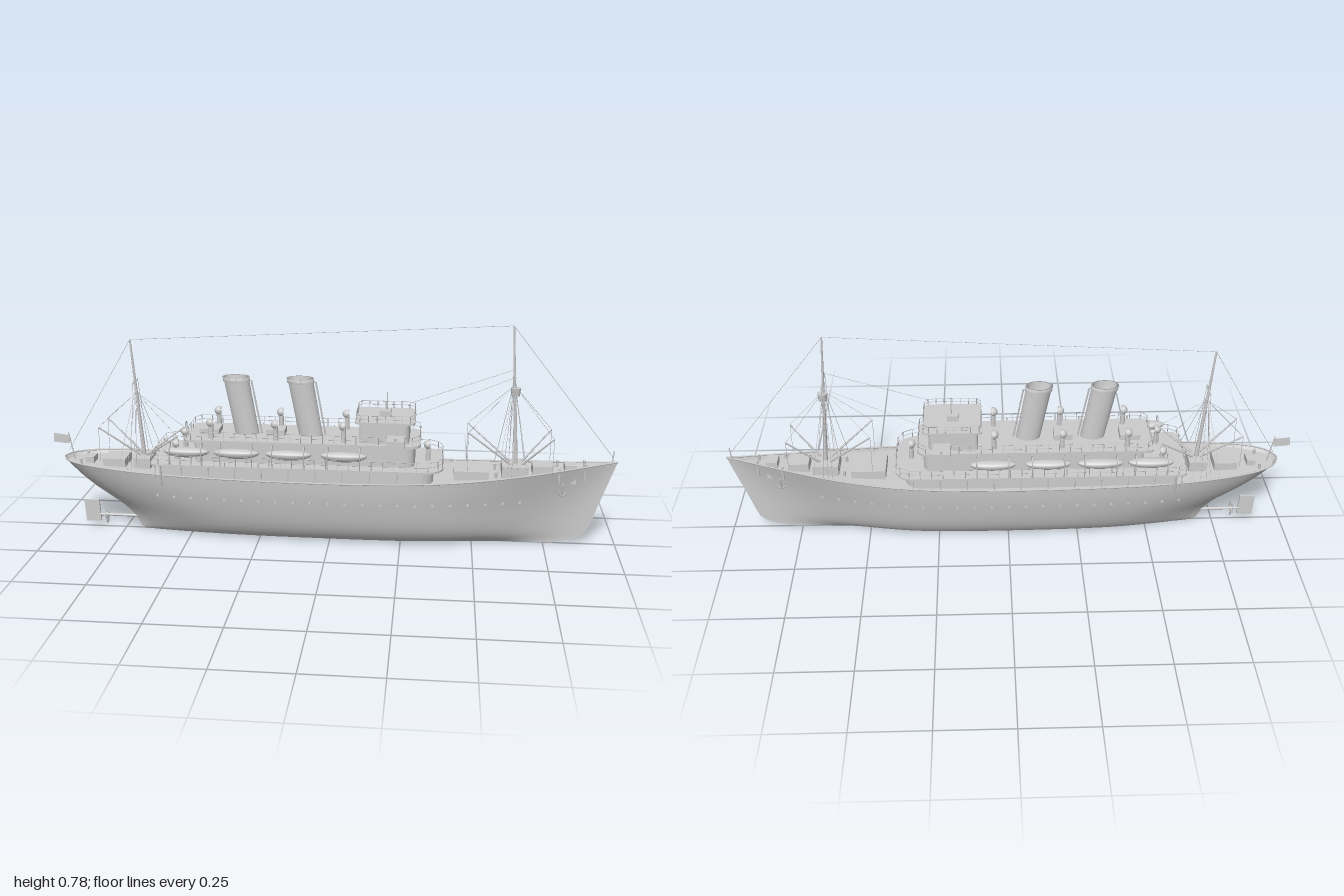
import * as THREE from 'three';

const steel = new THREE.MeshStandardMaterial({ color: 0xcccccc, side: THREE.DoubleSide });
steel.name = 'paleGrey';
const V = (x, y, z) => new THREE.Vector3(x, y, z);

// Smooth interpolation through [x, y] pairs
function curve(t) {
  const slope = i => (t[Math.min(i + 1, t.length - 1)][1] - t[Math.max(i - 1, 0)][1]) /
    (t[Math.min(i + 1, t.length - 1)][0] - t[Math.max(i - 1, 0)][0]);
  return x => {
    let i = 0;
    while (i < t.length - 2 && x > t[i + 1][0]) i++;
    const h = t[i + 1][0] - t[i][0], k = THREE.MathUtils.clamp((x - t[i][0]) / h, 0, 1), m = 1 - k;
    return (1 + 2 * k) * m * m * t[i][1] + k * m * m * h * slope(i) +
      k * k * (3 - 2 * k) * t[i + 1][1] - k * k * m * h * slope(i + 1);
  };
}

// Hull lines: sheer, half beam, midship section, stern and stem profiles
const sheer = curve([[-0.96, 0.268], [-0.5, 0.25], [0, 0.244], [0.4, 0.253], [0.7, 0.274], [0.99, 0.306]]);
const beam = curve([[0, 0], [0.006, 0.034], [0.02, 0.06], [0.05, 0.088], [0.11, 0.114], [0.2, 0.133], [0.35, 0.142],
  [0.6, 0.142], [0.7, 0.13], [0.8, 0.098], [0.9, 0.05], [0.97, 0.014], [1, 0]]);
const section = curve([[0, 0.25], [0.03, 0.4], [0.08, 0.53], [0.2, 0.69], [0.4, 0.82], [0.6, 0.9], [0.8, 0.965], [1, 1]]);
const stern = curve([[0, -0.69], [0.2, -0.72], [0.35, -0.76], [0.6, -0.855], [0.8, -0.915], [1, -0.96]]);
const stem = curve([[0, 0.78], [0.03, 0.82], [0.1, 0.88], [0.16, 0.9], [0.5, 0.936], [1, 0.99]]);
const hullZ = (u, v) => section(v) * 0.142 * Math.pow(beam(u) / 0.142, 1 + 1.3 * (1 - v));
function hullPoint(u, v, side) {
  const x = THREE.MathUtils.lerp(stern(v), stem(v), u);
  return V(x, v * sheer(x), side * hullZ(u, v));
}
function hullAt(x, y, side) {
  const v = y / sheer(x);
  return hullPoint((x - stern(v)) / (stem(v) - stern(v)), v, side);
}

// Surface through rows of points
function skin(rows) {
  const n = rows[0].length, idx = [];
  for (let i = 0; i < rows.length - 1; i++) for (let j = 0; j < n - 1; j++) {
    const a = i * n + j, b = a + n;
    idx.push(a, b, a + 1, b, b + 1, a + 1);
  }
  const g = new THREE.BufferGeometry().setFromPoints(rows.flat());
  g.setIndex(idx);
  g.computeVertexNormals();
  return g;
}

function outline(x0, x1, hw, rb, rf) {
  const s = new THREE.Shape();
  s.moveTo(x0 + rb, -hw);
  s.lineTo(x1 - rf, -hw);
  s.quadraticCurveTo(x1, -hw, x1, -hw + rf);
  s.lineTo(x1, hw - rf);
  s.quadraticCurveTo(x1, hw, x1 - rf, hw);
  s.lineTo(x0 + rb, hw);
  s.quadraticCurveTo(x0, hw, x0, hw - rb);
  s.lineTo(x0, -hw + rb);
  s.quadraticCurveTo(x0, -hw, x0 + rb, -hw);
  return s;
}

export function createModel() {
  const ship = new THREE.Group();
  ship.name = 'ship';
  const add = (name, geo, p = [0, 0, 0], parent = ship) => {
    const m = new THREE.Mesh(geo, steel);
    m.name = name;
    m.position.set(...p);
    parent.add(m);
    return m;
  };
  const group = name => {
    const g = new THREE.Group();
    g.name = name;
    ship.add(g);
    return g;
  };
  const box = (name, x0, x1, y0, y1, hw, parent, z = 0) =>
    add(name, new THREE.BoxGeometry(x1 - x0, y1 - y0, hw * 2), [(x0 + x1) / 2, (y0 + y1) / 2, z], parent);
  const rod = (name, a, b, r, parent, r2 = r, sides = 6) => {
    const d = b.clone().sub(a);
    const m = add(name, new THREE.CylinderGeometry(r2, r, d.length(), sides), a.clone().add(b).multiplyScalar(0.5).toArray(), parent);
    m.quaternion.setFromUnitVectors(V(0, 1, 0), d.normalize());
    return m;
  };
  const tube = (name, pts, r, parent, n = 12) =>
    add(name, new THREE.TubeGeometry(new THREE.CatmullRomCurve3(pts), n, r, 5), [0, 0, 0], parent);
  const slab = (name, x0, x1, hw, y0, y1, rb, rf) => add(name, new THREE.ExtrudeGeometry(outline(x0, x1, hw, rb, rf),
    { depth: y1 - y0, bevelEnabled: false, curveSegments: 8 }).rotateX(-Math.PI / 2), [0, y0, 0]);
  const railing = (name, shape, y, h, n) => {
    const g = group(name), pts = shape.getSpacedPoints(n).map(p => V(p.x, y, -p.y));
    pts.forEach((p, i) => {
      if (i === n) return;
      rod('railPost', p, p.clone().setY(y + h), 0.0013, g, 0.0013, 4);
      for (const k of [0.5, 1]) rod('rail', p.clone().setY(y + h * k), pts[i + 1].clone().setY(y + h * k), 0.001, g, 0.001, 4);
    });
  };

  // Hull shell, deck and gunwale
  const us = Array.from({ length: 65 }, (_, i) => (1 - Math.cos(Math.PI * i / 64)) / 2);
  const levels = [0, 0.03, 0.06, 0.1, 0.16, 0.24, 0.32, 0.4, 0.5, 0.6, 0.7, 0.8, 0.9, 1];
  add('hull', skin(us.map(u => [...levels.slice().reverse().map(v => hullPoint(u, v, -1)), V(hullPoint(u, 0, 1).x, 0, 0),
    ...levels.map(v => hullPoint(u, v, 1))])));
  add('mainDeck', skin(us.map(u => [hullPoint(u, 0.95, 1), hullPoint(u, 0.95, -1)])));
  for (const s of [1, -1]) tube('gunwale', us.map(u => hullPoint(u, 1, s)), 0.003, ship, 100);

  // Portholes, anchors and side ladders
  const fittings = group('hullFittings');
  for (const s of [1, -1]) {
    for (let i = 0; i < 22; i++) {
      const p = hullAt(-0.6 + i * 0.06, 0.168, s);
      add('porthole', new THREE.CylinderGeometry(0.005, 0.005, 0.005, 10).rotateX(Math.PI / 2), p.toArray(), fittings);
    }
    const a = y => hullAt(0.805, y, s).add(V(0, 0, s * 0.004));
    rod('anchorShank', a(0.185), a(0.23), 0.003, fittings);
    tube('anchorFlukes', [[-0.015, 0.198], [0, 0.186], [0.015, 0.198]].map(([dx, y]) => hullAt(0.805 + dx, y, s).add(V(0, 0, s * 0.004))), 0.003, fittings);
    rod('sideLadder', hullAt(-0.58, 0.21, s).add(V(0, 0, s * 0.003)), V(-0.58, 0.29, s * 0.14), 0.003, fittings);
  }

  // Rudder, shaft and propeller
  const gear = group('steeringGear');
  box('rudder', -0.9, -0.845, 0.02, 0.1, 0.004, gear).rotation.z = 0.06;
  rod('propellerShaft', V(-0.85, 0.045, 0), V(-0.69, 0.045, 0), 0.005, gear, 0.005, 10);
  add('propellerHub', new THREE.SphereGeometry(0.009, 10, 8), [-0.82, 0.045, 0], gear);
  for (let i = 0; i < 4; i++) {
    const blade = add('propellerBlade', new THREE.SphereGeometry(1, 8, 6).scale(0.002, 0.015, 0.008).rotateY(0.6).translate(0, 0.018, 0), [-0.82, 0.045, 0], gear);
    blade.rotation.x = i * Math.PI / 2;
  }

  // Superstructure, tier by tier
  slab('lowerHouse', -0.59, 0.36, 0.112, 0.225, 0.288, 0.02, 0.06);
  slab('promenadeDeck', -0.62, 0.395, 0.138, 0.286, 0.293, 0.03, 0.08);
  slab('upperHouse', -0.47, 0.295, 0.09, 0.29, 0.367, 0.02, 0.04);
  slab('boatDeck', -0.5, 0.315, 0.105, 0.365, 0.374, 0.02, 0.04);
  slab('wheelhouse', 0.105, 0.275, 0.084, 0.37, 0.447, 0.01, 0.025);
  slab('wheelhouseRoof', 0.09, 0.295, 0.096, 0.445, 0.452, 0.015, 0.03);
  box('bridgeWings', 0.2, 0.26, 0.372, 0.405, 0.155);
  box('chartBox', 0.17, 0.21, 0.45, 0.472, 0.02);
  rod('signalPole', V(0.195, 0.45, 0), V(0.195, 0.535, 0), 0.002);
  railing('promenadeRailing', outline(-0.617, 0.392, 0.136, 0.03, 0.08), 0.293, 0.033, 64);
  railing('boatDeckRailing', outline(-0.497, 0.312, 0.103, 0.02, 0.04), 0.374, 0.03, 52);
  railing('roofRailing', outline(0.093, 0.292, 0.094, 0.015, 0.03), 0.452, 0.024, 26);
  const pillars = group('pillars');
  for (const s of [1, -1]) {
    for (let i = 0; i < 11; i++) rod('pillar', V(-0.6 + i * 0.093, 0.235, s * 0.133), V(-0.6 + i * 0.093, 0.29, s * 0.133), 0.002, pillars);
    rod('wingLamp', V(0.23, 0.4, s * 0.15), V(0.23, 0.416, s * 0.15), 0.004, pillars);
  }

  // Lifeboats with davits
  const boatGeo = new THREE.SphereGeometry(1, 20, 12), bp = boatGeo.attributes.position;
  for (let i = 0; i < bp.count; i++) {
    const y = bp.getY(i);
    bp.setXYZ(i, bp.getX(i) * 0.08, y * (y > 0 ? 0.012 : 0.022), bp.getZ(i) * 0.022);
  }
  boatGeo.computeVertexNormals();
  const boats = group('lifeboats');
  for (const s of [1, -1]) for (const x of [-0.49, -0.315, -0.135, 0.055]) {
    add('lifeboat', boatGeo, [x, 0.339, s * 0.12], boats);
    for (const d of [-0.055, 0.055])
      tube('davit', [V(x + d, 0.29, s * 0.136), V(x + d, 0.34, s * 0.146), V(x + d, 0.364, s * 0.138), V(x + d, 0.37, s * 0.12), V(x + d, 0.35, s * 0.118)], 0.002, boats);
  }

  // Raked hollow funnels
  const profile = [[0.93, 0], [0.98, 0.19], [1.06, 0.192], [1.06, 0.207], [0.9, 0.207], [0.88, 0.13], [0, 0.13]];
  for (const x of [-0.295, -0.07]) {
    const f = new THREE.LatheGeometry(profile.map(p => new THREE.Vector2(p[0], p[1])), 28).scale(0.045, 1, 0.031);
    f.applyMatrix4(new THREE.Matrix4().set(1, -0.18, 0, 0, 0, 1, 0, 0, 0, 0, 1, 0, 0, 0, 0, 1));
    f.computeVertexNormals();
    add('funnel', f, [x, 0.37, 0]);
    rod('whistleBar', V(x - 0.012, 0.555, -0.045), V(x - 0.012, 0.555, 0.045), 0.002);
    rod('steamPipe', V(x + 0.052, 0.37, 0), V(x + 0.017, 0.565, 0), 0.003);
  }

  // Cowl ventilators
  const vents = group('ventilators');
  const vent = (x, y, z) => {
    rod('ventPipe', V(x, y, z), V(x, y + 0.055, z), 0.009, vents, 0.008, 10);
    add('ventCowl', new THREE.SphereGeometry(0.016, 12, 8, 0, Math.PI * 2, 0, Math.PI * 0.6).rotateZ(Math.PI / 2 - 0.2), [x, y + 0.057, z], vents);
  };
  for (const s of [1, -1]) {
    vent(-0.535, 0.293, s * 0.07);
    for (const x of [-0.41, -0.185, 0.05]) vent(x, 0.374, s * 0.075);
  }
  vent(0.34, 0.293, 0);
  box('skylight', -0.225, -0.16, 0.37, 0.395, 0.03);
  box('engineCasing', -0.46, -0.39, 0.37, 0.393, 0.035);

  // Cargo hatches and mast houses
  [[0.43, 0.55, 0.06, 0.275], [0.595, 0.685, 0.05, 0.292], [0.7, 0.77, 0.035, 0.293], [0.81, 0.85, 0.025, 0.296],
    [-0.7, -0.64, 0.045, 0.28], [-0.81, -0.73, 0.045, 0.275], [-0.88, -0.85, 0.025, 0.272]]
    .forEach(([a, b, hw, top]) => box('deckHatch', a, b, 0.23, top, hw));
  for (const s of [1, -1]) for (const x of [-0.89, 0.575, 0.79, 0.88])
    rod('bollard', V(x, 0.24, s * (x > 0.85 ? 0.02 : 0.045)), V(x, sheer(x) + 0.008, s * (x > 0.85 ? 0.02 : 0.045)), 0.005);

  // Masts, derricks and rigging
  const rig = group('mastsAndRigging');
  const line = (a, b) => rod('stay', a, b, 0.0008, rig, 0.0008, 4);
  const foreTop = V(0.615, 0.776, 0), aftTop = V(-0.702, 0.7, 0);
  const mast = (base, top, armY, arm, tips) => {
    rod('mast', base, top, 0.008, rig, 0.003, 10);
    const at = y => base.clone().lerp(top, (y - base.y) / (top.y - base.y));
    const c = at(armY);
    rod('crossarm', c.clone().setZ(-arm), c.clone().setZ(arm), 0.0025, rig);
    for (const s of [1, -1]) {
      for (const dx of [-0.07, -0.035, 0, 0.035]) line(at(armY - 0.02), hullAt(base.x + dx, sheer(base.x + dx) * 0.98, s));
      line(c.clone().setZ(s * arm), hullAt(base.x - 0.02, sheer(base.x) * 0.98, s));
      for (const [x, y] of tips) {
        const tip = V(x, y, s * 0.058);
        rod('derrick', V(base.x + Math.sign(x - base.x) * 0.012, 0.285, s * 0.014), tip, 0.004, rig, 0.0025);
        line(tip, at(armY - 0.04));
        line(tip, V(x, 0.27, s * 0.058));
      }
    }
  };
  mast(V(0.645, 0.25, 0), foreTop, 0.61, 0.053, [[0.475, 0.415], [0.765, 0.4]]);
  mast(V(-0.668, 0.24, 0), aftTop, 0.55, 0.035, [[-0.815, 0.395], [-0.535, 0.37]]);
  add('crowsNest', new THREE.CylinderGeometry(0.018, 0.014, 0.028, 14), [0.631, 0.548, 0], rig);
  line(foreTop, aftTop);
  line(foreTop, V(0.975, 0.32, 0));
  line(aftTop, V(-0.945, 0.29, 0));
  for (const s of [1, -1]) line(V(0.622, 0.61, s * 0.05), V(0.28, 0.475, s * 0.09));

  // Flagstaffs and stern flag
  rod('sternStaff', V(-0.925, 0.25, 0), V(-0.945, 0.355, 0), 0.002);
  box('sternFlag', -1, -0.942, 0.316, 0.348, 0.001).rotation.z = -0.1;
  rod('bowStaff', V(0.97, 0.29, 0), V(0.975, 0.345, 0), 0.002);
  return ship;
}
